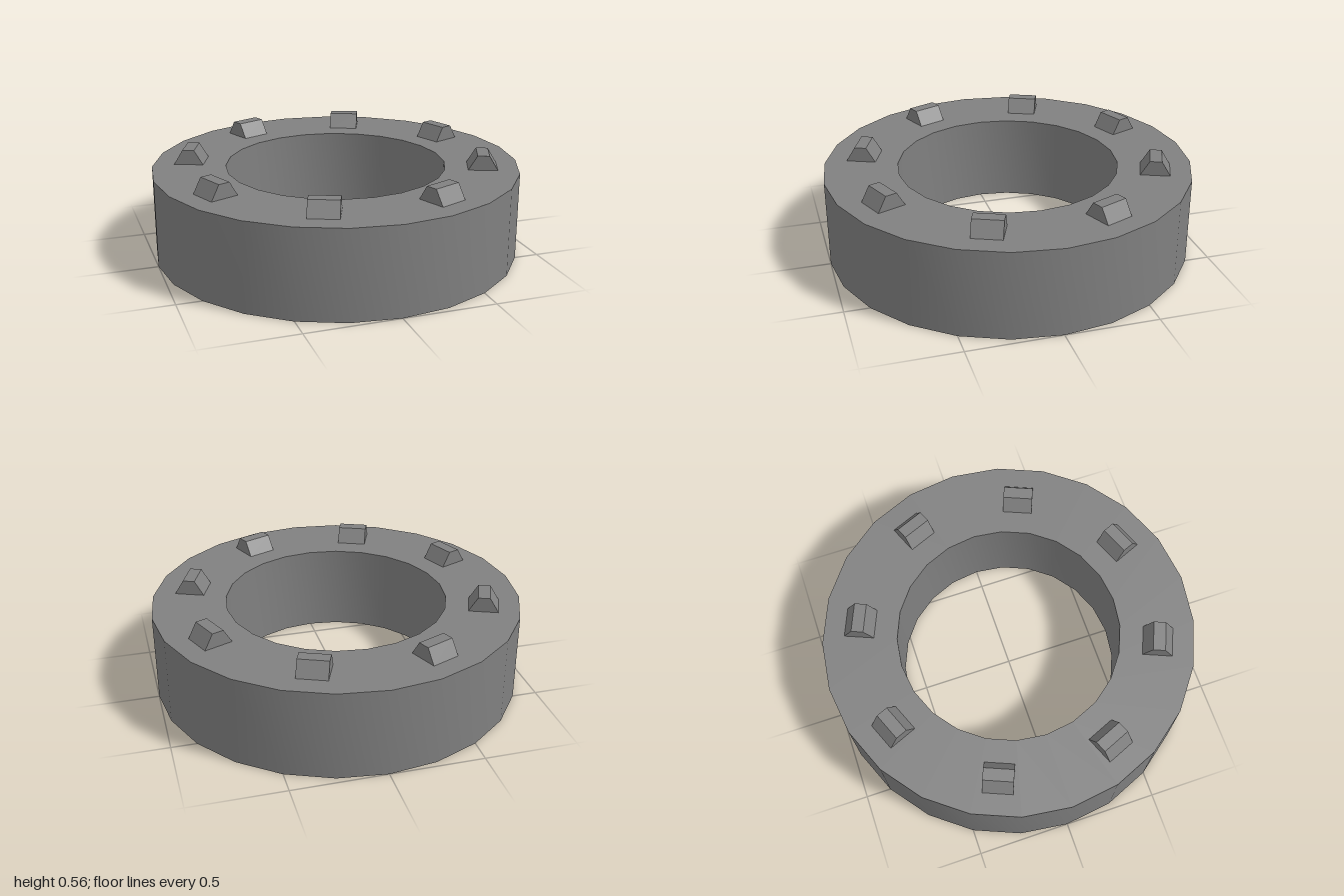
import * as THREE from 'three';
import { toCreasedNormals } from 'three/addons/utils/BufferGeometryUtils.js';

const SIDES = 24, OUTER = 1, INNER = 0.6, HEIGHT = 0.48;
const TEETH = 8, TOOTH_RADIUS = 0.8, TOOTH_SIZE = 0.16, TOOTH_TOP = 0.064, TOOTH_HEIGHT = 0.08;

export function createModel() {
  const model = new THREE.Group();
  model.name = 'toothedRing';
  const grey = new THREE.MeshStandardMaterial({ color: 0x808080 });
  grey.name = 'grey';

  // Ring body: rectangular section turned around the y axis
  const section = [[INNER, 0], [OUTER, 0], [OUTER, HEIGHT], [INNER, HEIGHT], [INNER, 0]]
    .map(([x, y]) => new THREE.Vector2(x, y));
  const ring = new THREE.Mesh(toCreasedNormals(new THREE.LatheGeometry(section, SIDES), 0.6), grey);
  ring.name = 'ring';
  model.add(ring);

  // Teeth: wedges that taper in the radial direction
  const b = TOOTH_SIZE / 2, t = TOOTH_TOP / 2;
  const profile = new THREE.Shape([[-b, 0], [b, 0], [t, TOOTH_HEIGHT], [-t, TOOTH_HEIGHT]]
    .map(([x, y]) => new THREE.Vector2(x, y)));
  const toothGeometry = new THREE.ExtrudeGeometry(profile, { depth: TOOTH_SIZE, bevelEnabled: false });
  toothGeometry.translate(TOOTH_RADIUS, HEIGHT, -TOOTH_SIZE / 2);
  for (let i = 0; i < TEETH; i++) {
    const tooth = new THREE.Mesh(toothGeometry, grey);
    tooth.name = `tooth${i + 1}`;
    tooth.rotation.y = (i + 0.5) * Math.PI * 2 / TEETH;
    model.add(tooth);
  }
  return model;
}
